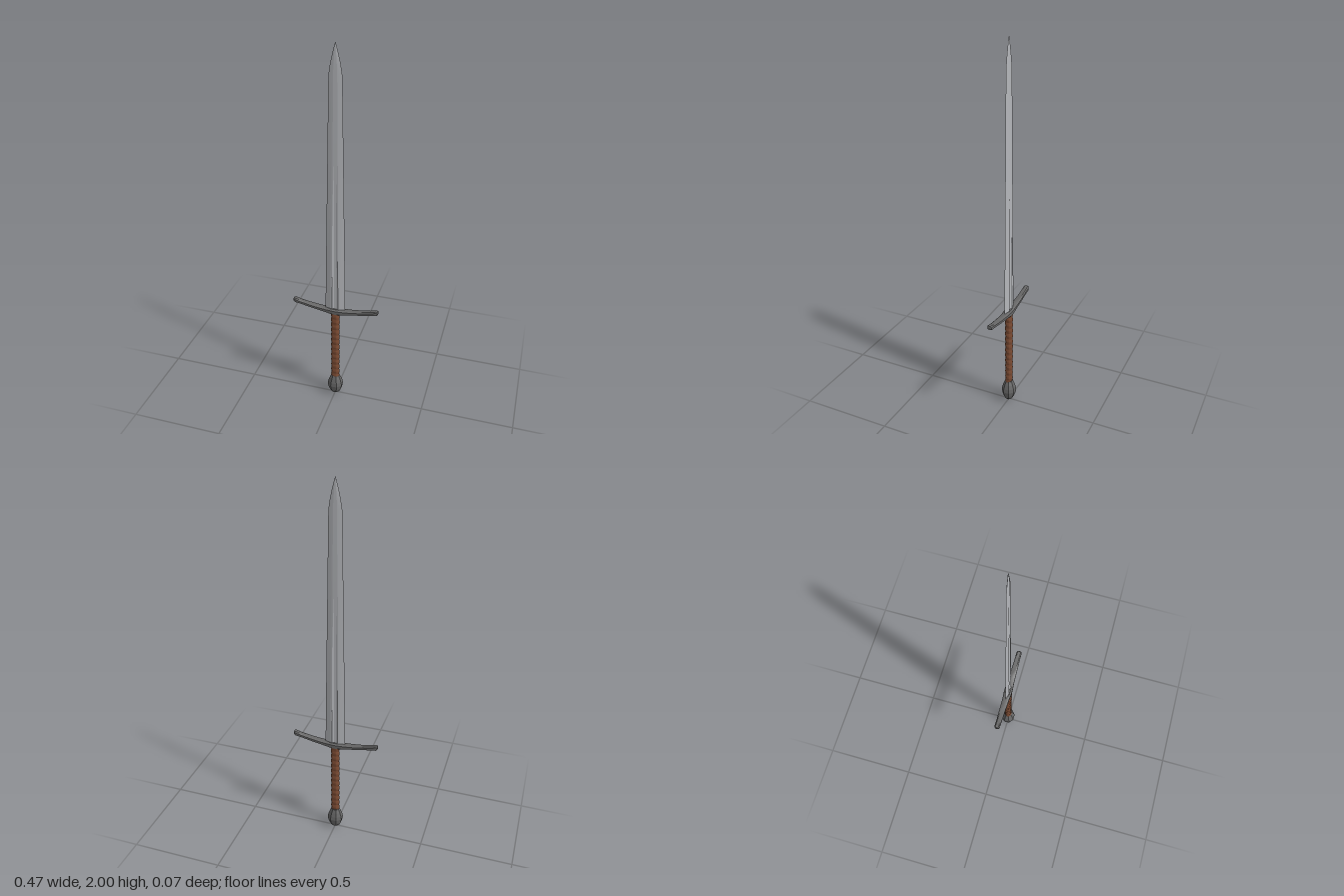
import * as THREE from 'three';
import { toCreasedNormals } from 'three/addons/utils/BufferGeometryUtils.js';

const steel = new THREE.MeshStandardMaterial({ color: 0xb4b6ba });
const darkSteel = new THREE.MeshStandardMaterial({ color: 0x666666 });
const facetedSteel = new THREE.MeshStandardMaterial({ color: 0x666666, flatShading: true });
const leather = new THREE.MeshStandardMaterial({ color: 0x7a4a32 });

// Skin over equal-length rings, counter-clockwise about the loft axis, with closed ends
function loft(rings, crease) {
  const n = rings[0].length;
  const pos = rings.flat(2);
  const index = [];
  for (let i = 0; i < rings.length - 1; i++) {
    for (let j = 0; j < n; j++) {
      const k = (j + 1) % n;
      const a = i * n + j, b = i * n + k, c = a + n, d = b + n;
      index.push(a, b, d, a, d, c);
    }
  }
  const cap = (ring, start, flip) => {
    const centre = pos.length / 3;
    for (let axis = 0; axis < 3; axis++) pos.push(ring.reduce((s, p) => s + p[axis], 0) / n);
    for (let j = 0; j < n; j++) {
      const a = start + j, b = start + (j + 1) % n;
      index.push(centre, flip ? b : a, flip ? a : b);
    }
  };
  cap(rings[0], 0, true);
  cap(rings[rings.length - 1], (rings.length - 1) * n, false);
  const geo = new THREE.BufferGeometry();
  geo.setAttribute('position', new THREE.Float32BufferAttribute(pos, 3));
  geo.setIndex(index);
  return toCreasedNormals(geo, crease);
}

function add(parent, name, geometry, material) {
  const mesh = new THREE.Mesh(geometry, material);
  mesh.name = name;
  parent.add(mesh);
  return mesh;
}

// Blade: bevelled section with a shallow fuller that fades out towards the tip
function bladeGeometry() {
  // height, half width, half thickness, half thickness in the fuller
  const sections = [
    [0.565, 0.055, 0.010, 0.005],
    [0.80, 0.0515, 0.0095, 0.005],
    [1.20, 0.0445, 0.0075, 0.0045],
    [1.45, 0.040, 0.0065, 0.0065],
    [1.85, 0.033, 0.0045, 0.0045],
    [1.90, 0.0255, 0.004, 0.004],
    [1.95, 0.0145, 0.003, 0.003],
    [1.985, 0.005, 0.0015, 0.0015],
    [2.0, 0.0006, 0.0004, 0.0004],
  ];
  return loft(sections.map(([y, w, t, f]) => {
    const back = [[w, 0], [0.5 * w, -0.8 * t], [0.3 * w, -t], [0.12 * w, -f], [-0.12 * w, -f],
      [-0.3 * w, -t], [-0.5 * w, -0.8 * t]];
    return [...back, ...back.map(([x, z]) => [-x, -z])].map(([x, z]) => [x, y, z]);
  }), 0.1);
}

// Crossguard: chamfered bar curving up to rounded ends
function guardGeometry() {
  // distance from centre, half height, half depth
  const half = [
    [0, 0.017, 0.022], [0.02, 0.0165, 0.0215], [0.05, 0.013, 0.019], [0.09, 0.011, 0.0175],
    [0.14, 0.0105, 0.016], [0.19, 0.0105, 0.0145], [0.21, 0.012, 0.0145],
    [0.224, 0.013, 0.0145], [0.232, 0.010, 0.011], [0.235, 0.005, 0.006],
  ];
  const all = [...half.slice(1).reverse().map(([x, h, d]) => [-x, h, d]), ...half];
  const outline = [[1, 0.6], [0.6, 1], [-0.6, 1], [-1, 0.6], [-1, -0.6], [-0.6, -1], [0.6, -1], [1, -0.6]];
  return loft(all.map(([x, h, d]) => {
    const y = 0.565 + 0.034 * (Math.abs(x) / 0.235) ** 1.6;
    return outline.map(([a, b]) => [x, y + a * h, b * d]);
  }), 0.6);
}

// Grip: oval handle with a spiral leather wrap
function gripGeometry() {
  const bottom = 0.115, top = 0.555, pitch = 0.034, steps = 110, sides = 20;
  const rings = [];
  for (let i = 0; i <= steps; i++) {
    const y = bottom + (top - bottom) * i / steps;
    const ring = [];
    for (let j = 0; j < sides; j++) {
      const a = j / sides * Math.PI * 2;
      const r = 0.0205 + 0.0035 * Math.abs(Math.sin(Math.PI * y / pitch + a / 2));
      ring.push([r * Math.cos(a), y, -0.85 * r * Math.sin(a)]);
    }
    rings.push(ring);
  }
  return loft(rings, 0.7);
}

export function createModel() {
  const sword = new THREE.Group();
  sword.name = 'sword';

  add(sword, 'blade', bladeGeometry(), steel);

  // Pairs of short engraved marks on both faces
  for (const x of [-0.0145, 0.0145]) {
    const mark = add(sword, 'bladeMark', new THREE.BoxGeometry(0.004, 0.055, 0.0196), darkSteel);
    mark.position.set(x, 0.75, 0);
  }

  add(sword, 'crossguard', guardGeometry(), darkSteel);
  add(sword, 'grip', gripGeometry(), leather);

  // Eight-sided pommel, slightly flattened front to back
  const profile = [[0, 0], [0.014, 0.002], [0.027, 0.014], [0.038, 0.036], [0.044, 0.062],
    [0.041, 0.083], [0.033, 0.105], [0.026, 0.12], [0.024, 0.127], [0, 0.127]];
  const pommel = add(sword, 'pommel', new THREE.LatheGeometry(
    profile.map(([r, y]) => new THREE.Vector2(r, y)), 8, Math.PI / 8), facetedSteel);
  pommel.scale.z = 0.9;

  return sword;
}
